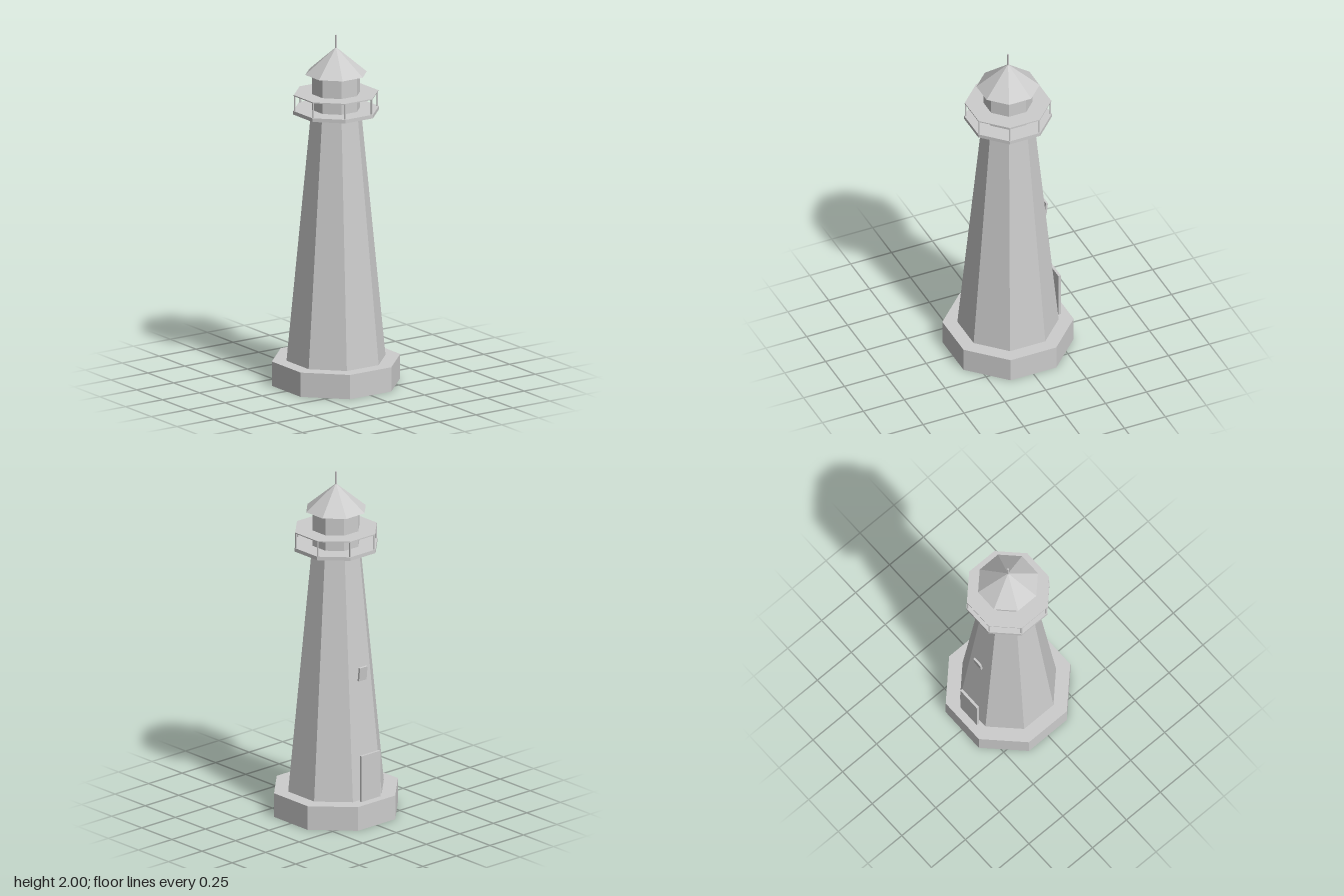
import * as THREE from 'three';

const SIDES = 8;
const HALF = Math.PI / SIDES;
const corner = (apothem) => apothem / Math.cos(HALF);

export function createModel() {
  const model = new THREE.Group();
  model.name = 'lighthouse';
  const stone = new THREE.MeshStandardMaterial({ color: 0xcccccc, flatShading: true });
  stone.name = 'pale grey';

  function add(name, geometry, x, y, z, parent = model) {
    const mesh = new THREE.Mesh(geometry, stone);
    mesh.name = name;
    mesh.position.set(x, y, z);
    parent.add(mesh);
    return mesh;
  }

  // Octagonal section with flat sides facing the axes, sized by its apothems
  function octagon(name, bottom, top, y0, y1) {
    const geometry = new THREE.CylinderGeometry(corner(top), corner(bottom), y1 - y0, SIDES);
    geometry.rotateY(HALF);
    return add(name, geometry, 0, (y0 + y1) / 2, 0);
  }

  octagon('foundation', 0.337, 0.337, 0, 0.14);
  octagon('tower', 0.26, 0.132, 0.14, 1.556);
  octagon('galleryDeck', 0.225, 0.225, 1.556, 1.577);
  octagon('lanternRoom', 0.127, 0.127, 1.577, 1.78);
  octagon('galleryTop', 0.222, 0.222, 1.662, 1.668);
  octagon('roof', 0.162, 0.004, 1.78, 1.927);
  octagon('spire', 0.005, 0.005, 1.92, 2);

  // Railing posts at the corners of the gallery
  const posts = new THREE.Group();
  posts.name = 'railingPosts';
  model.add(posts);
  const postGeometry = new THREE.CylinderGeometry(0.005, 0.005, 0.09, 6);
  for (let i = 0; i < SIDES; i++) {
    const a = HALF + i * 2 * HALF;
    const r = corner(0.217);
    add('railingPost', postGeometry, r * Math.sin(a), 1.62, r * Math.cos(a), posts);
  }

  // Door and leaning window panel on the back
  add('door', new THREE.BoxGeometry(0.14, 0.27, 0.015), 0, 0.275, -0.283);
  const window = add('window', new THREE.BoxGeometry(0.056, 0.08, 0.012), 0, 0.865, -0.221);
  window.rotation.x = -0.11;

  return model;
}
